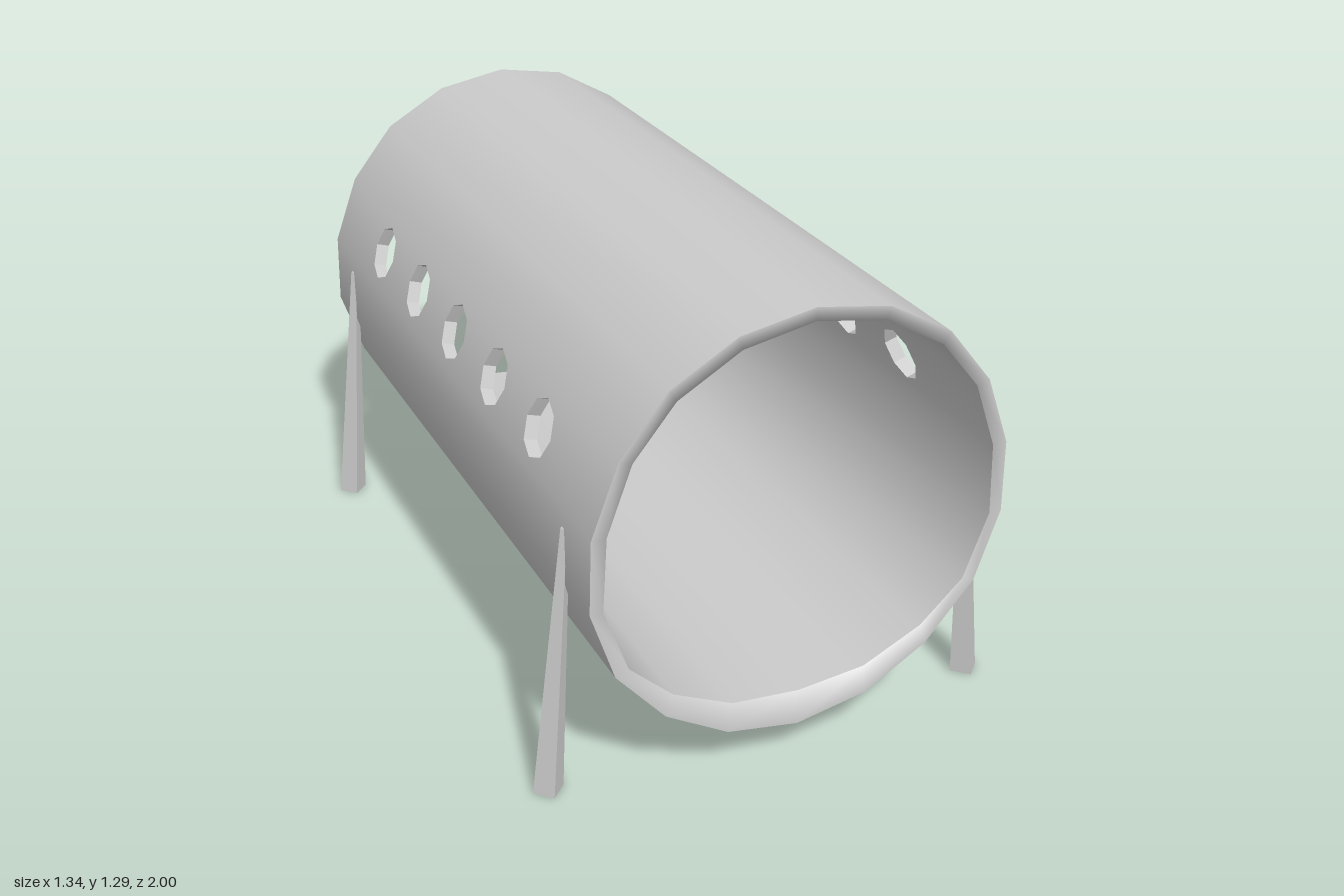
import * as THREE from 'three';

// Half profiles from top to bottom; the inner one leaves a thicker floor.
const OUTER = [[0, 1.29], [0.2, 1.255], [0.375, 1.155], [0.5, 1.0], [0.57, 0.81], [0.575, 0.61], [0.51, 0.415], [0.375, 0.258], [0.2, 0.154], [0, 0.118]];
const INNER = [[0, 1.255], [0.19, 1.22], [0.355, 1.125], [0.465, 0.99], [0.53, 0.81], [0.54, 0.61], [0.475, 0.43], [0.355, 0.318], [0.19, 0.24], [0, 0.222]];
const HOLES_Z = [-0.605, -0.3, 0, 0.3, 0.605];
const HOLE_R = 0.075, N = 18;
const OUTER_Y = 0.906, INNER_Y = 0.895;

const grey = new THREE.MeshStandardMaterial({ color: 0xcccccc, side: THREE.DoubleSide });
const flatGrey = new THREE.MeshStandardMaterial({ color: 0xcccccc, side: THREE.DoubleSide, flatShading: true });

// Closed ring of 18 points, mirrored from a half profile.
function ring(half) {
  const all = [...half, ...half.slice(1, -1).reverse().map(([x, y]) => [-x, y])];
  return all.map(([x, y]) => new THREE.Vector2(x, y));
}

// Smooth outward normal at each ring point.
function ringNormals(pts) {
  return pts.map((p, i) => {
    const d = pts[(i + 1) % N].clone().sub(pts[(i + N - 1) % N]);
    return new THREE.Vector2(-d.y, d.x).normalize();
  });
}

const hasHoles = (i) => i === 3 || i === 14;

// Octagon outline in (z, y).
function octagon(z, y) {
  return Array.from({ length: 8 }, (_, k) => {
    const a = (k * Math.PI) / 4;
    return new THREE.Vector2(z + HOLE_R * Math.cos(a), y + HOLE_R * Math.sin(a));
  });
}

// x on a ring side at height y.
function xAt(pts, i, y) {
  const a = pts[i], b = pts[(i + 1) % N];
  return a.x + ((b.x - a.x) * (y - a.y)) / (b.y - a.y);
}

// One wall of the barrel: each panel is a shape in (z, t), mapped to the ring.
function addWall(group, name, pts, sign, holeY) {
  const normals = ringNormals(pts);
  const wall = new THREE.Group();
  wall.name = name;
  for (let i = 0; i < N; i++) {
    const a = pts[i], b = pts[(i + 1) % N], na = normals[i], nb = normals[(i + 1) % N];
    const shape = new THREE.Shape([[-1, 0], [1, 0], [1, 1], [-1, 1]].map(([u, t]) => new THREE.Vector2(u, t)));
    if (hasHoles(i)) {
      for (const z of HOLES_Z) {
        const outline = octagon(z, holeY).map((p) => new THREE.Vector2(p.x, (p.y - a.y) / (b.y - a.y)));
        shape.holes.push(new THREE.Path(outline));
      }
    }
    const geo = new THREE.ShapeGeometry(shape);
    const pos = geo.attributes.position, nor = geo.attributes.normal;
    for (let k = 0; k < pos.count; k++) {
      const z = pos.getX(k) * sign, t = pos.getY(k);
      const p = a.clone().lerp(b, t), n = na.clone().lerp(nb, t).normalize();
      pos.setXYZ(k, p.x, p.y, z);
      nor.setXYZ(k, n.x * sign, n.y * sign, 0);
    }
    const mesh = new THREE.Mesh(geo, grey);
    mesh.name = name + 'Panel';
    wall.add(mesh);
  }
  group.add(wall);
}

function bufferMesh(name, pos, idx, material, nor) {
  const geo = new THREE.BufferGeometry();
  geo.setAttribute('position', new THREE.Float32BufferAttribute(pos, 3));
  geo.setIndex(idx);
  if (nor) geo.setAttribute('normal', new THREE.Float32BufferAttribute(nor, 3));
  else geo.computeVertexNormals();
  const mesh = new THREE.Mesh(geo, material);
  mesh.name = name;
  return mesh;
}

// End rim, shaded softly into the inner wall.
function rim(outer, inner, end) {
  const normals = ringNormals(inner);
  const pos = [], nor = [], idx = [];
  for (let i = 0; i < N; i++) {
    const n = normals[i];
    pos.push(outer[i].x, outer[i].y, end, inner[i].x, inner[i].y, end);
    nor.push(0, 0, end, -n.x * 0.707, -n.y * 0.707, end * 0.707);
    const a = 2 * i, b = 2 * ((i + 1) % N);
    if (end > 0) idx.push(a, a + 1, b, b, a + 1, b + 1);
    else idx.push(a, b, a + 1, b, b + 1, a + 1);
  }
  return bufferMesh(end > 0 ? 'frontRim' : 'backRim', pos, idx, grey, nor);
}

// Short octagonal sleeve joining the outer and inner walls.
function holeSleeve(outer, inner, i, z) {
  const pos = [], idx = [];
  const o = octagon(z, OUTER_Y), n = octagon(z, INNER_Y);
  for (let k = 0; k < 8; k++) {
    pos.push(xAt(outer, i, o[k].y), o[k].y, z + o[k].x - z);
    pos.push(xAt(inner, i, n[k].y), n[k].y, n[k].x);
    const a = 2 * k, b = 2 * ((k + 1) % 8);
    if (i === 3) idx.push(a, a + 1, b, b, a + 1, b + 1);
    else idx.push(a, b, a + 1, b, b + 1, a + 1);
  }
  return bufferMesh('holeSleeve', pos, idx, flatGrey);
}

// Tapered four-sided leg leaning in towards the barrel.
function leg(side, end) {
  const h = 0.76;
  const geo = new THREE.CylinderGeometry(0.012, 0.042, h, 4);
  geo.translate(0, h / 2, 0);
  const pos = geo.attributes.position;
  for (let k = 0; k < pos.count; k++) {
    const t = pos.getY(k) / h;
    pos.setX(k, pos.getX(k) + side * (0.626 - 0.06 * t));
  }
  geo.translate(0, 0, end * 0.838);
  geo.computeVertexNormals();
  const mesh = new THREE.Mesh(geo, flatGrey);
  mesh.name = (end > 0 ? 'front' : 'back') + (side > 0 ? 'Left' : 'Right') + 'Leg';
  return mesh;
}

export function createModel() {
  const model = new THREE.Group();
  model.name = 'barrelOnLegs';
  const outer = ring(OUTER), inner = ring(INNER);

  // Barrel
  const barrel = new THREE.Group();
  barrel.name = 'barrel';
  addWall(barrel, 'outerWall', outer, 1, OUTER_Y);
  addWall(barrel, 'innerWall', inner, -1, INNER_Y);
  for (const end of [1, -1]) barrel.add(rim(outer, inner, end));
  for (const i of [3, 14]) for (const z of HOLES_Z) barrel.add(holeSleeve(outer, inner, i, z));
  model.add(barrel);

  // Legs
  for (const side of [1, -1]) for (const end of [1, -1]) model.add(leg(side, end));
  return model;
}
